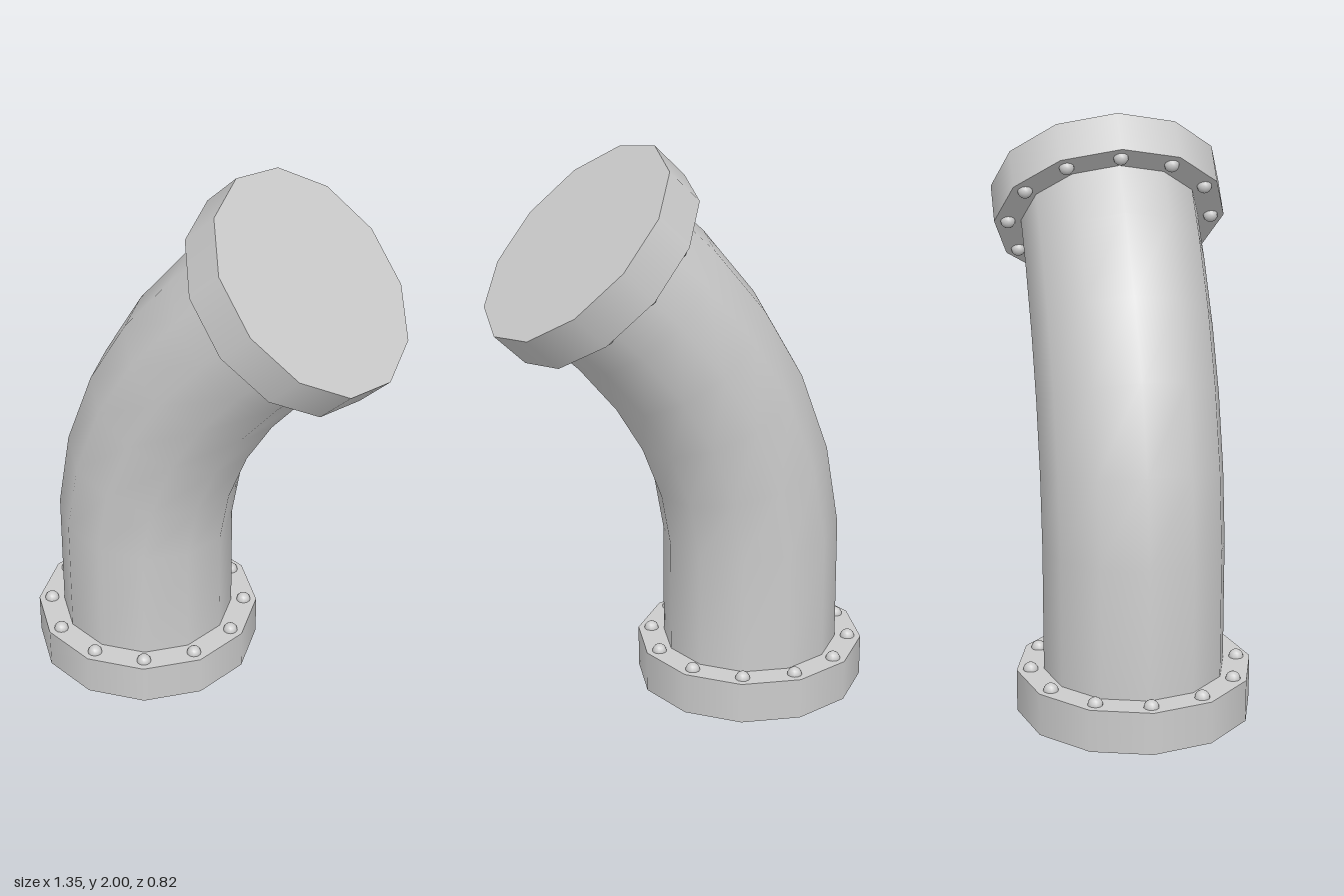
import * as THREE from 'three';

const SIDES = 12;
const PIPE_R = 0.314, FLANGE_R = 0.408, FLANGE_H = 0.15;
const BOLT_R = 0.026, BOLT_RING = 0.36;

const material = new THREE.MeshStandardMaterial({ color: 0xcccccc });

// Pipe rings from bottom to top: centre x, centre y, tilt in degrees
const RINGS = [
  [-0.27, 0.14, 0],
  [-0.268, 0.585, 4.5],
  [-0.225, 0.83, 14.5],
  [-0.135, 1.07, 24.5],
  [-0.012, 1.28, 34.5],
  [0.15, 1.48, 43],
  [0.288, 1.615, 45],
];

// Open cylinder whose rows are moved and tilted onto the rings
function bentPipe() {
  const last = RINGS.length - 1;
  const geo = new THREE.CylinderGeometry(PIPE_R, PIPE_R, 1, SIDES, last, true);
  const pos = geo.attributes.position, nor = geo.attributes.normal;
  for (let i = 0; i < pos.count; i++) {
    const row = last - Math.floor(i / (SIDES + 1));
    const [cx, cy, deg] = RINGS[row];
    const c = Math.cos(THREE.MathUtils.degToRad(deg));
    const s = Math.sin(THREE.MathUtils.degToRad(deg));
    const x = pos.getX(i), nx = nor.getX(i);
    pos.setXYZ(i, cx + x * c, cy - x * s, pos.getZ(i));
    nor.setXYZ(i, nx * c, -nx * s, nor.getZ(i));
  }
  const mesh = new THREE.Mesh(geo, material);
  mesh.name = 'bentPipe';
  return mesh;
}

// Disc standing on its local origin, with bolts on the face towards the pipe
function flange(name, boltY) {
  const group = new THREE.Group();
  group.name = name;
  const disc = new THREE.Mesh(new THREE.CylinderGeometry(FLANGE_R, FLANGE_R, FLANGE_H, SIDES), material);
  disc.name = name + 'Disc';
  disc.position.y = FLANGE_H / 2;
  group.add(disc);

  const boltGeo = new THREE.SphereGeometry(BOLT_R, 12, 8);
  for (let i = 0; i < SIDES; i++) {
    const a = (i / SIDES) * Math.PI * 2;
    const bolt = new THREE.Mesh(boltGeo, material);
    bolt.name = 'bolt';
    bolt.position.set(Math.cos(a) * BOLT_RING, boltY, Math.sin(a) * BOLT_RING);
    group.add(bolt);
  }
  return group;
}

export function createModel() {
  const model = new THREE.Group();
  model.name = 'pipeElbow';

  const base = flange('baseFlange', FLANGE_H);
  base.position.x = -0.27;

  const top = flange('topFlange', 0);
  top.position.set(0.281, 1.606, 0);
  top.rotation.z = -Math.PI / 4;

  model.add(base, bentPipe(), top);
  return model;
}
